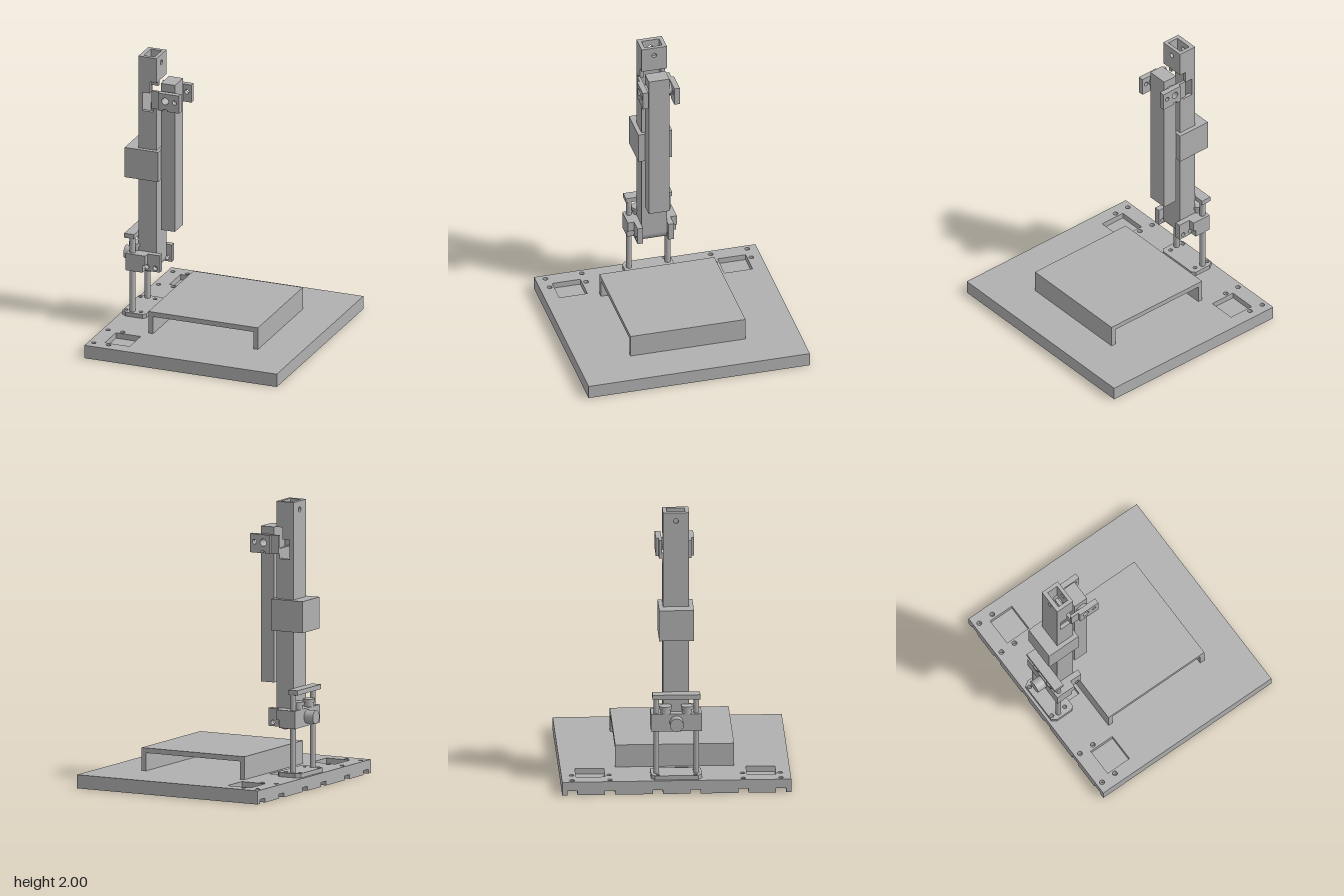
import * as THREE from 'three';

const grey = new THREE.MeshStandardMaterial({ color: 0xb0b0b0 });
grey.name = 'plain grey';

export function createModel() {
  const model = new THREE.Group();
  model.name = 'pressStand';

  const add = (name, geometry) => {
    const mesh = new THREE.Mesh(geometry, grey);
    mesh.name = name;
    model.add(mesh);
    return mesh;
  };
  // Box given by its limits on each axis
  const box = (name, x0, x1, y0, y1, z0, z1) =>
    add(name, new THREE.BoxGeometry(x1 - x0, y1 - y0, z1 - z0)
      .translate((x0 + x1) / 2, (y0 + y1) / 2, (z0 + z1) / 2));
  const polygon = (pts) => new THREE.Shape(pts.map(([x, y]) => new THREE.Vector2(x, y)));
  const rect = (x0, x1, y0, y1) => polygon([[x0, y0], [x1, y0], [x1, y1], [x0, y1]]);
  const hole = (shape, x, y, r) => {
    shape.holes.push(new THREE.Path().absarc(x, y, r, 0, Math.PI * 2, true));
    return shape;
  };
  const extrude = (shape, depth) =>
    new THREE.ExtrudeGeometry(shape, { depth, bevelEnabled: false, curveSegments: 14 });
  // Profile in x-y, extruded along z
  const upright = (name, shape, z0, z1) => add(name, extrude(shape, z1 - z0).translate(0, 0, z0));
  // Plan in x-z, extruded along y
  const plate = (name, shape, y0, y1) =>
    add(name, extrude(shape, y1 - y0).rotateX(Math.PI / 2).translate(0, y1, 0));
  // Wall in y-z, extruded along x (shape x becomes -z)
  const wall = (name, shape, x0, x1) =>
    add(name, extrude(shape, x1 - x0).rotateY(Math.PI / 2).translate(x0, 0, 0));
  const cylinder = (name, r, x, y0, y1, z) =>
    add(name, new THREE.CylinderGeometry(r, r, y1 - y0, 24).translate(x, (y0 + y1) / 2, z));

  // Base: bolt holes, nut slots below and square pockets above
  const boltZ = [-0.72, -0.46, -0.13, 0.13, 0.46, 0.72];
  const drill = (shape) => {
    for (const z of boltZ) for (const x of [-0.67, -0.56]) hole(shape, x, z, 0.017);
    return shape;
  };
  const slotted = [[-0.71, -0.79], [0.72, -0.79], [0.72, 0.79], [-0.71, 0.79]];
  for (const z of [...boltZ].reverse()) {
    slotted.push([-0.71, z + 0.035], [-0.53, z + 0.035], [-0.53, z - 0.035], [-0.71, z - 0.035]);
  }
  plate('baseBottom', polygon(slotted), 0, 0.03);
  plate('baseCore', drill(rect(-0.71, 0.72, -0.79, 0.79)), 0.03, 0.055);
  const baseTop = drill(rect(-0.71, 0.72, -0.79, 0.79));
  for (const z of [-0.59, 0, 0.59]) baseTop.holes.push(rect(-0.6, -0.415, z - 0.1, z + 0.1));
  plate('baseTop', baseTop, 0.055, 0.095);

  // Work table
  upright('workTable', polygon([[-0.39, 0.095], [-0.355, 0.095], [-0.355, 0.22], [0.39, 0.22],
    [0.39, 0.095], [0.425, 0.095], [0.425, 0.255], [-0.39, 0.255]]), -0.41, 0.41);

  // Foot plate with chamfered corners
  const foot = polygon([[-0.69, -0.15], [-0.655, -0.175], [-0.53, -0.175], [-0.51, -0.155],
    [-0.51, 0.155], [-0.53, 0.175], [-0.655, 0.175], [-0.69, 0.15]]);
  for (const s of [-1, 1]) for (const x of [-0.67, -0.56]) hole(foot, x, s * 0.13, 0.014);
  plate('footPlate', foot, 0.095, 0.125);

  // Column: hollow square tube with a hooked slot in both sides
  const side = polygon([[-0.595, 0.48], [-0.46, 0.48], [-0.46, 1.67], [-0.485, 1.67],
    [-0.485, 1.6], [-0.565, 1.6], [-0.565, 1.735], [-0.51, 1.735], [-0.51, 1.82],
    [-0.46, 1.82], [-0.46, 2], [-0.595, 2]]);
  upright('columnSide', side, -0.09, -0.063);
  upright('columnSide', side, 0.063, 0.09);
  wall('columnBack', hole(rect(-0.063, 0.063, 0.48, 2), 0, 1.94, 0.018), -0.595, -0.565);
  wall('columnFrontUpper', hole(rect(-0.063, 0.063, 1.82, 2), 0, 1.94, 0.018), -0.485, -0.46);
  box('columnFrontLower', -0.485, -0.46, 0.48, 1.67, -0.063, 0.063);
  add('columnRoundedEnd', new THREE.CylinderGeometry(0.0675, 0.0675, 0.18, 32)
    .rotateX(Math.PI / 2).translate(-0.5275, 0.48, 0));

  // Sleeve around the column
  const sleeve = rect(-0.685, -0.436, -0.12, 0.12);
  sleeve.holes.push(rect(-0.595, -0.46, -0.09, 0.09));
  plate('sleeve', sleeve, 1.1, 1.32);
  box('sleeveFilling', -0.684, -0.595, 1.101, 1.319, -0.119, 0.119);

  // Swinging arm
  const arm = rect(-0.435, -0.33, 0.73, 1.815);
  hole(hole(arm, -0.38, 1.71, 0.025), -0.38, 1.64, 0.015);
  upright('arm', arm, -0.074, 0.074);

  for (const s of [-1, 1]) {
    // Mirrors a z range to either side
    const zr = (a, b) => (s > 0 ? [a, b] : [-b, -a]);

    // Arm hinge bracket
    const bracket = polygon([[-0.43, 1.635], [-0.395, 1.635], [-0.395, 1.65], [-0.365, 1.65],
      [-0.365, 1.635], [-0.275, 1.635], [-0.275, 1.765], [-0.43, 1.765]]);
    hole(hole(bracket, -0.38, 1.71, 0.025), -0.31, 1.71, 0.016);
    upright('hingeBracket', bracket, ...zr(0.093, 0.132));
    box('hingeBracketTongue', -0.49, -0.43, 1.635, 1.765, ...zr(0.093, 0.113));
    const hub = new THREE.Shape().absarc(-0.38, 1.71, 0.045, 0, Math.PI * 2);
    upright('hingeHub', hole(hub, -0.38, 1.71, 0.025), ...zr(0.07, 0.095));

    // Guide rod
    cylinder('guideRod', 0.02, -0.62, 0.095, 0.69, s * 0.138);

    // Clamp cheek
    const cheek = rect(-0.6, -0.42, 0.435, 0.56);
    hole(hole(cheek, -0.515, 0.465, 0.016), -0.455, 0.462, 0.016);
    upright('clampCheek', cheek, ...zr(0.09, 0.13));
    box('clampShoulder', -0.6, -0.53, 0.435, 0.56, ...zr(0.13, 0.175));
    box('clampLug', -0.53, -0.51, 0.49, 0.56, ...zr(0.13, 0.175));

    // Flanged nut on the clamp
    cylinder('nutBody', 0.035, -0.625, 0.56, 0.59, s * 0.075);
    cylinder('nutFlange', 0.043, -0.625, 0.59, 0.613, s * 0.075);
  }

  // Clamp body, top bar and knob
  box('clampBody', -0.655, -0.596, 0.435, 0.56, -0.175, 0.175);
  box('topBar', -0.67, -0.596, 0.67, 0.703, -0.165, 0.165);
  add('knob', new THREE.CylinderGeometry(0.047, 0.047, 0.07, 32)
    .rotateZ(Math.PI / 2).translate(-0.69, 0.5, 0));

  return model;
}
